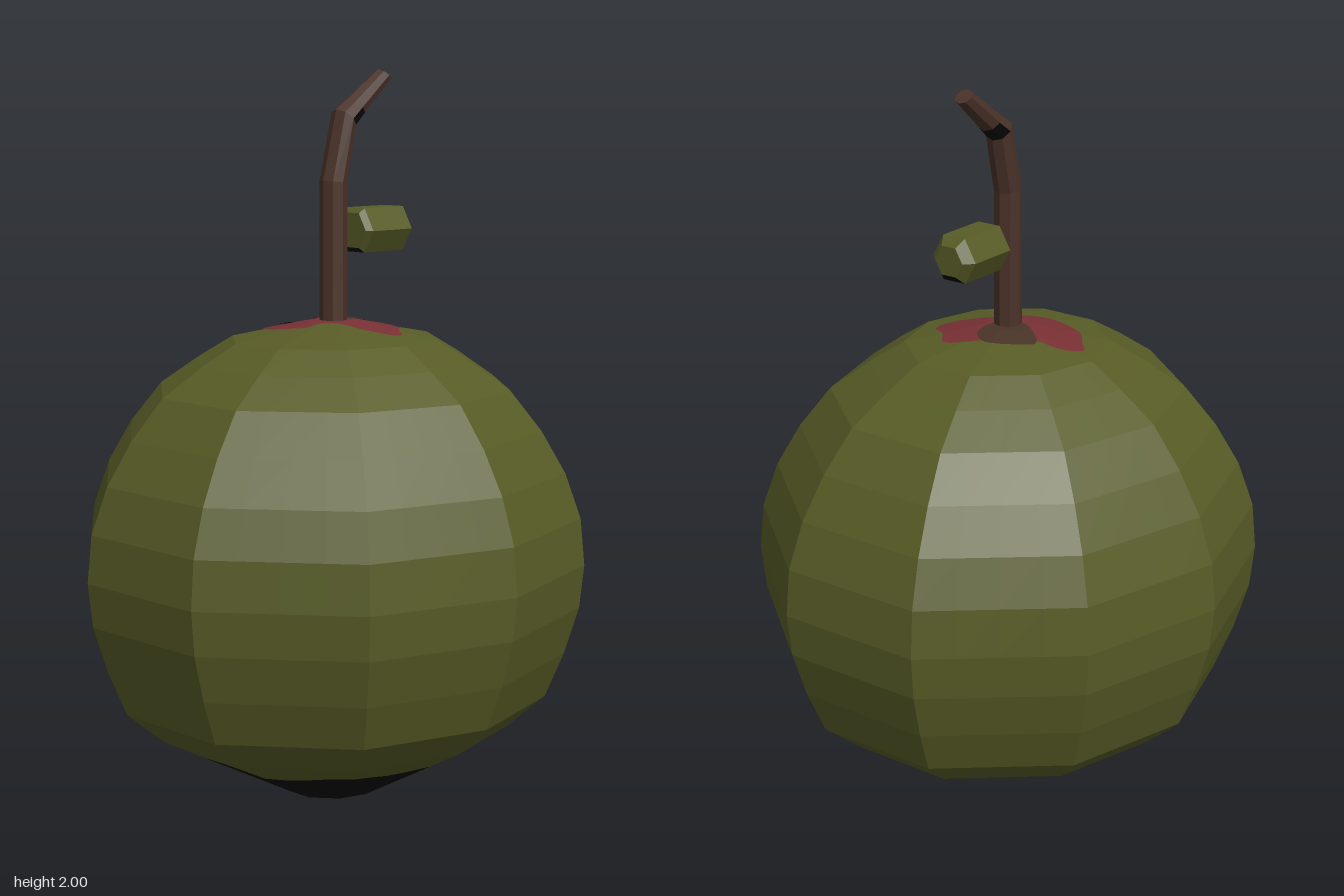
import * as THREE from 'three';

const mat = (name, color, side = THREE.FrontSide) => {
  const m = new THREE.MeshStandardMaterial({ color, flatShading: true, side });
  m.name = name;
  return m;
};

// Joins a list of equal closed loops; keep(i, j) selects the faces to build
function loft(loops, keep = () => true) {
  const n = loops[0].length, pos = [];
  for (let i = 0; i < loops.length - 1; i++) {
    for (let j = 0; j < n; j++) {
      if (!keep(i, j)) continue;
      const k = (j + 1) % n;
      const a = loops[i][j], b = loops[i][k], c = loops[i + 1][k], d = loops[i + 1][j];
      for (const p of [a, b, c, a, c, d]) pos.push(...p);
    }
  }
  const g = new THREE.BufferGeometry();
  g.setAttribute('position', new THREE.Float32BufferAttribute(pos, 3));
  g.computeVertexNormals();
  return g;
}

// Round loop in the x = 0 plane's frame, tilted from up towards the back
function tiltedLoop(sides, y, z, r, tilt) {
  return Array.from({ length: sides }, (_, j) => {
    const a = (j / sides) * Math.PI * 2, s = Math.sin(a) * r;
    return [Math.cos(a) * r, y - s * Math.sin(tilt), z - s * Math.cos(tilt)];
  });
}

// Ten-sided outline of the fruit at its widest, counter-clockwise from above
const R = 0.68;
const corners = [
  [0.68, 0], [0.56, -0.415], [0.21, -0.7], [-0.21, -0.7], [-0.56, -0.415],
  [-0.68, 0], [-0.56, 0.415], [-0.21, 0.7], [0.21, 0.7], [0.56, 0.415],
];
const SUB = 4;
const outline = corners.flatMap(([x, z], i) => {
  const [x2, z2] = corners[(i + 1) % 10];
  return Array.from({ length: SUB }, (_, k) => [x + (x2 - x) * k / SUB, z + (z2 - z) * k / SUB]);
});

// Fruit profile: radius, height
const profile = [
  [0.48, 0.195], [0.58, 0.285], [0.63, 0.41], [0.668, 0.54], [0.68, 0.66], [0.668, 0.79],
  [0.625, 0.915], [0.56, 1.03], [0.475, 1.14], [0.37, 1.215], [0.275, 1.275], [0.06, 1.32], [0, 1.32],
];
const ring = (r, y) => outline.map(([x, z]) => [x * r / R, y, z * r / R]);

// Height of the fruit's upper surface at a point seen from above
function topY(x, z) {
  let r = 0;
  corners.forEach(([ax, az], i) => {
    const [bx, bz] = corners[(i + 1) % 10];
    const nx = az - bz, nz = bx - ax;
    r = Math.max(r, R * (x * nx + z * nz) / (ax * nx + az * nz));
  });
  for (let i = profile.length - 1; i > 0; i--) {
    const [r1, y1] = profile[i], [r0, y0] = profile[i - 1];
    if (r <= r0) return y1 + (y0 - y1) * (r - r1) / (r0 - r1);
  }
  return 0;
}

// Thin patch laid over the top of the fruit
function patch(points, [cx, cz], lift) {
  const curve = new THREE.CatmullRomCurve3(points.map(([x, z]) => new THREE.Vector3(x, 0, z)), true);
  const edge = curve.getPoints(48).slice(0, 48);
  const loops = [];
  for (let i = 8; i >= 0; i--) {
    loops.push(edge.map((p) => {
      const x = cx + (p.x - cx) * i / 8, z = cz + (p.z - cz) * i / 8;
      return [x, topY(x, z) + lift, z];
    }));
  }
  return loft(loops);
}

export function createModel() {
  const group = new THREE.Group();
  const olive = mat('olive skin', 0x585c26);
  const brown = mat('brown bark', 0x4a3229);
  const black = mat('black rot', 0x070707);
  const red = mat('dark red stain', 0x783034, THREE.DoubleSide);
  const brownPatch = mat('brown stain', 0x493328, THREE.DoubleSide);
  const add = (name, geometry, material) => {
    const m = new THREE.Mesh(geometry, material);
    m.name = name;
    group.add(m);
  };

  // Fruit with a wavy boundary above its dark underside
  const wave = outline.map(([x, z], j) => {
    const y = 0.132 + 0.012 * Math.sin(j * 1.1) + 0.007 * Math.sin(j * 0.47 + 1);
    const r = 0.13 + 0.35 * y / 0.195;
    return [x * r / R, y, z * r / R];
  });
  add('fruitBody', loft([wave, ...profile.map(([r, y]) => ring(r, y))]), olive);
  add('fruitUnderside', loft([ring(0, 0), ring(0.13, 0), wave]), black);

  // Stains around the stem
  add('redStain', patch([
    [-0.23, 0.03], [-0.2, -0.015], [-0.1, -0.04], [-0.03, -0.1], [0.06, -0.16], [0.1, -0.16], [0.14, -0.11],
    [0.19, -0.075], [0.195, -0.04], [0.14, 0.01], [0.06, 0.04], [0.025, 0.075], [0.015, 0.12],
    [-0.06, 0.147], [-0.155, 0.12], [-0.2, 0.065],
  ], [-0.02, 0.01], 0.004), red);
  add('brownStain', patch([
    [-0.13, -0.055], [-0.08, -0.105], [-0.02, -0.13], [0.03, -0.1], [0.03, -0.02], [-0.03, 0.02], [-0.08, 0],
  ], [-0.04, -0.05], 0.007), brownPatch);
  add('blackSpot', patch([
    [-0.225, 0.0], [-0.19, -0.03], [-0.175, -0.01], [-0.21, 0.02],
  ], [-0.2, -0.005], 0.007), black);

  // Bent stem with a dark knot under the bend
  const stem = [
    [1.3, 0, 0.038, 0], [1.7, 0, 0.038, 0.1], [1.87, -0.04, 0.038, 0.7],
    [1.9, -0.08, 0.033, 0.72], [1.985, -0.19, 0.025, 0.64], [1.985, -0.19, 0, 0.64],
  ].map(([y, z, r, t]) => tiltedLoop(8, y, z, r, t));
  const isKnot = (i, j) => i === 2 && j < 4;
  add('stem', loft(stem, (i, j) => !isKnot(i, j)), brown);
  add('stemKnot', loft(stem, isKnot), black);

  // Six-sided bud behind the stem, dark below
  const bud = [
    [-0.07, 0], [-0.07, 0.055], [-0.085, 0.07], [-0.235, 0.07], [-0.26, 0.045], [-0.26, 0],
  ].map(([z, r]) => tiltedLoop(6, 1.565, z, r, Math.PI / 2));
  const isBelow = (i, j) => j === 1 && i > 0 && i < 4;
  add('bud', loft(bud, (i, j) => !isBelow(i, j)), olive);
  add('budUnderside', loft(bud, isBelow), black);

  return group;
}
